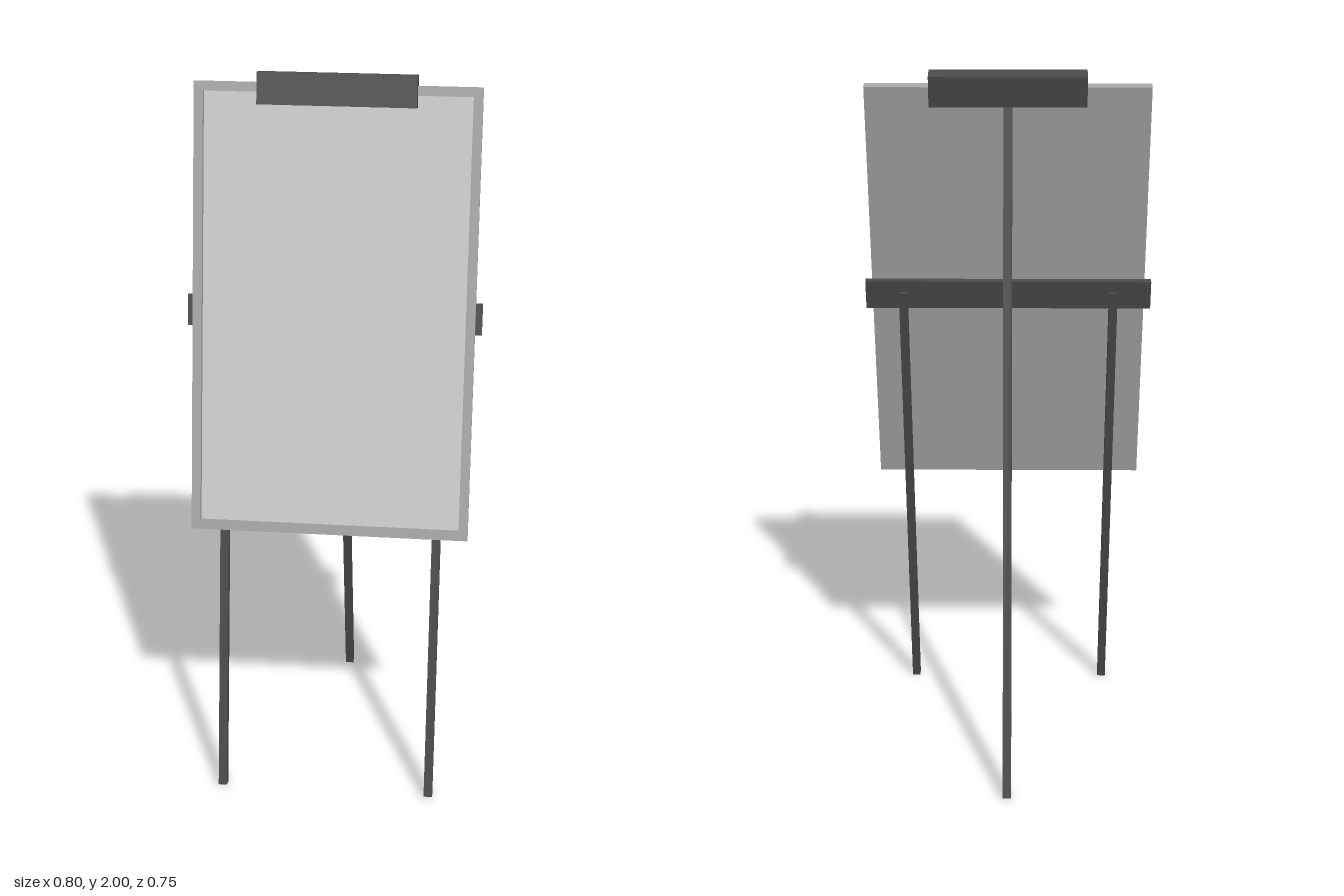
import * as THREE from 'three';

const TILT = 0.2;
const frameMat = new THREE.MeshStandardMaterial({ color: 0xa5a5a5 });
const panelMat = new THREE.MeshStandardMaterial({ color: 0xcccccc });
const darkMat = new THREE.MeshStandardMaterial({ color: 0x494949 });

function box(name, size, pos, mat, tilt = 0) {
  const mesh = new THREE.Mesh(new THREE.BoxGeometry(...size), mat);
  mesh.name = name;
  mesh.position.set(...pos);
  mesh.rotation.x = tilt;
  return mesh;
}

// Square bar running from a foot to a top point, both given as [y, z]
function leg(name, x, foot, top) {
  const dy = top[0] - foot[0], dz = top[1] - foot[1];
  return box(name, [0.024, Math.hypot(dy, dz), 0.024],
    [x, (foot[0] + top[0]) / 2, (foot[1] + top[1]) / 2], darkMat, Math.atan2(dz, dy));
}

function rectangle(PathType, w, h) {
  return new PathType([[-w, -h], [w, -h], [w, h], [-w, h]]
    .map(([x, y]) => new THREE.Vector2(x / 2, y / 2)));
}

function createBoard() {
  const W = 0.764, H = 1.223, T = 0.0275, RIM = 0.025, BACK = 0.01;
  const board = new THREE.Group();
  board.name = 'board';

  // Backing sheet and the raised rim in front of it
  board.add(box('backing', [W, H, BACK], [0, 0, -T / 2 + BACK / 2], frameMat));
  const outline = rectangle(THREE.Shape, W, H);
  outline.holes.push(rectangle(THREE.Path, W - 2 * RIM, H - 2 * RIM));
  const rim = new THREE.Mesh(
    new THREE.ExtrudeGeometry(outline, { depth: T - BACK, bevelEnabled: false }), frameMat);
  rim.name = 'frame';
  rim.position.z = -T / 2 + BACK;
  board.add(rim);

  // Recessed writing surface
  board.add(box('writingPanel', [W - 2 * RIM, H - 2 * RIM, 0.002],
    [0, 0, -T / 2 + BACK + 0.0005], panelMat));

  board.position.set(0, 1.365, 0.125);
  board.rotation.x = -TILT;
  return board;
}

export function createModel() {
  const model = new THREE.Group();
  model.name = 'easel';
  model.add(createBoard());

  // Paper clamp over the top edge, and the bar behind the board
  model.add(box('clamp', [0.422, 0.085, 0.053], [0, 1.953, 0.018], darkMat, -TILT));
  model.add(box('crossbar', [0.8, 0.084, 0.018], [0, 1.357, 0.102], darkMat, -TILT));

  // Tripod
  for (const [side, s] of [['left', 1], ['right', -1]]) {
    model.add(leg(side + 'FrontLeg', s * 0.295, [0.003, 0.361], [1.365, 0.096]));
  }
  model.add(leg('rearLeg', 0, [0.003, -0.361], [1.908, -0.005]));
  return model;
}
